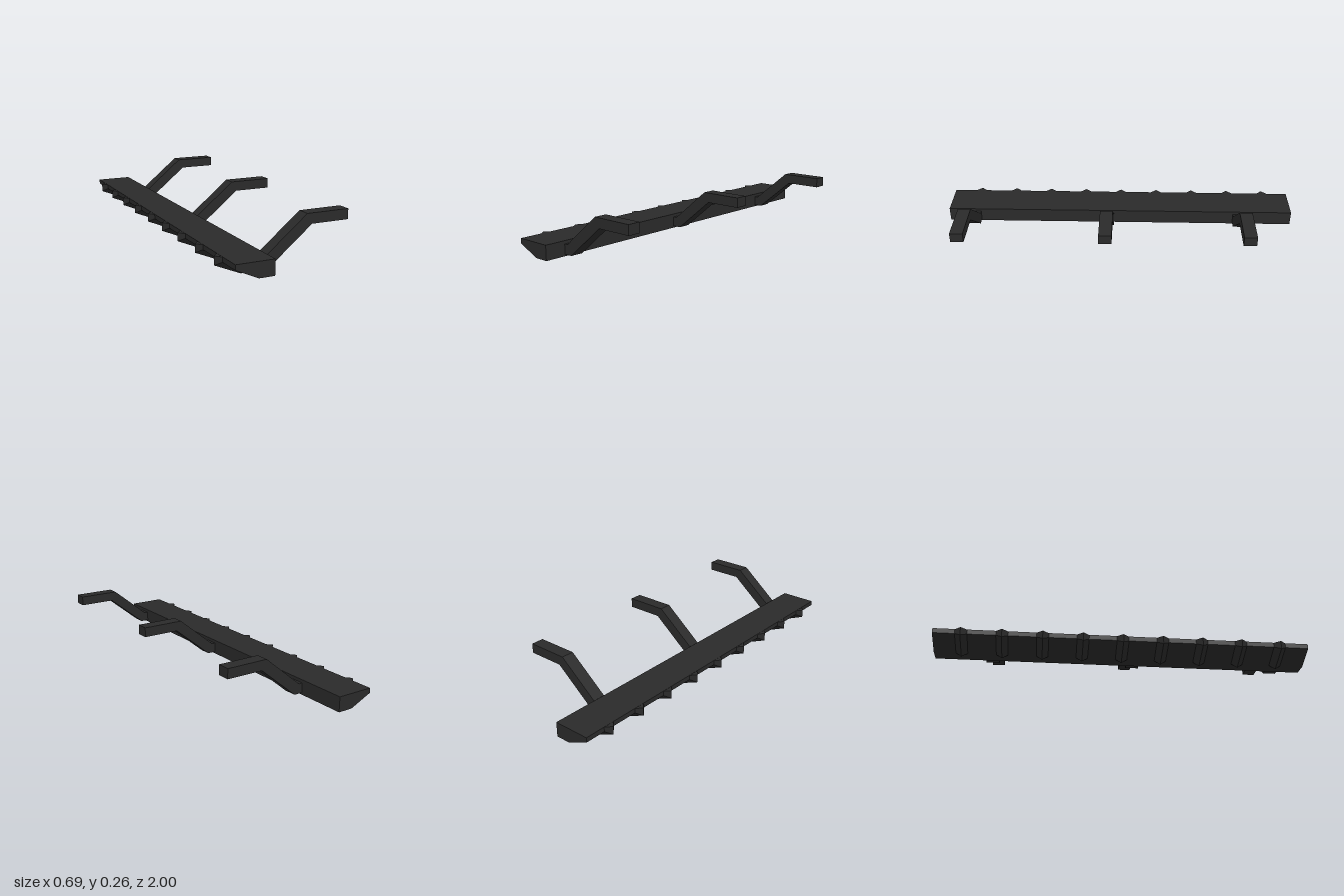
import * as THREE from 'three';

const material = new THREE.MeshStandardMaterial({ color: 0x2a2a2a, flatShading: true });

// Extrude an x/y outline along z, centred on the given z.
function slab(name, points, depth, z) {
  const shape = new THREE.Shape(points.map(([x, y]) => new THREE.Vector2(x, y)));
  const geometry = new THREE.ExtrudeGeometry(shape, { depth, bevelEnabled: false });
  geometry.translate(0, 0, z - depth / 2);
  const mesh = new THREE.Mesh(geometry, material);
  mesh.name = name;
  return mesh;
}

// V-shaped ridge that follows the front edge and sloping underside of the blade.
function toothGeometry() {
  const halfWidth = 0.032;
  // each section: base x, base y, ridge x, ridge y
  const sections = [
    [-0.32, 0.105, -0.348, 0.105],
    [-0.32, 0.08, -0.348, 0.06],
    [-0.198, 0.026, -0.208, 0.001],
  ];
  const positions = [];
  for (const [bx, by, rx, ry] of sections) {
    positions.push(bx, by, halfWidth, rx, ry, 0, bx, by, -halfWidth);
  }
  const index = [0, 2, 1, 6, 7, 8]; // end caps
  for (let s = 0; s < sections.length - 1; s++) {
    for (let k = 0; k < 2; k++) {
      const a = s * 3 + k;
      index.push(a, a + 1, a + 4, a, a + 4, a + 3);
    }
  }
  const geometry = new THREE.BufferGeometry();
  geometry.setAttribute('position', new THREE.Float32BufferAttribute(positions, 3));
  geometry.setIndex(index);
  const flat = geometry.toNonIndexed();
  flat.computeVertexNormals();
  return flat;
}

export function createModel() {
  const group = new THREE.Group();
  group.name = 'toothedBar';

  // Long bar with a chamfered underside
  group.add(slab('bar', [
    [-0.32, 0.08], [-0.2, 0.026], [-0.118, 0.026], [-0.118, 0.106], [-0.32, 0.106],
  ], 2, 0));

  // Cranked mounting arms
  const armOutline = [
    [-0.12, 0.036], [-0.07, 0.036], [0.144, 0.21], [0.347, 0.21],
    [0.347, 0.263], [0.116, 0.263], [-0.097, 0.089], [-0.12, 0.089],
  ];
  [-0.697, 0.067, 0.85].forEach((z, i) => {
    group.add(slab(`arm${i + 1}`, armOutline, 0.07, z));
  });

  // Row of evenly spaced teeth
  const tooth = toothGeometry();
  for (let i = 0; i < 9; i++) {
    const mesh = new THREE.Mesh(tooth, material);
    mesh.name = `tooth${i + 1}`;
    mesh.position.z = -0.853 + i * 0.212;
    group.add(mesh);
  }
  return group;
}
